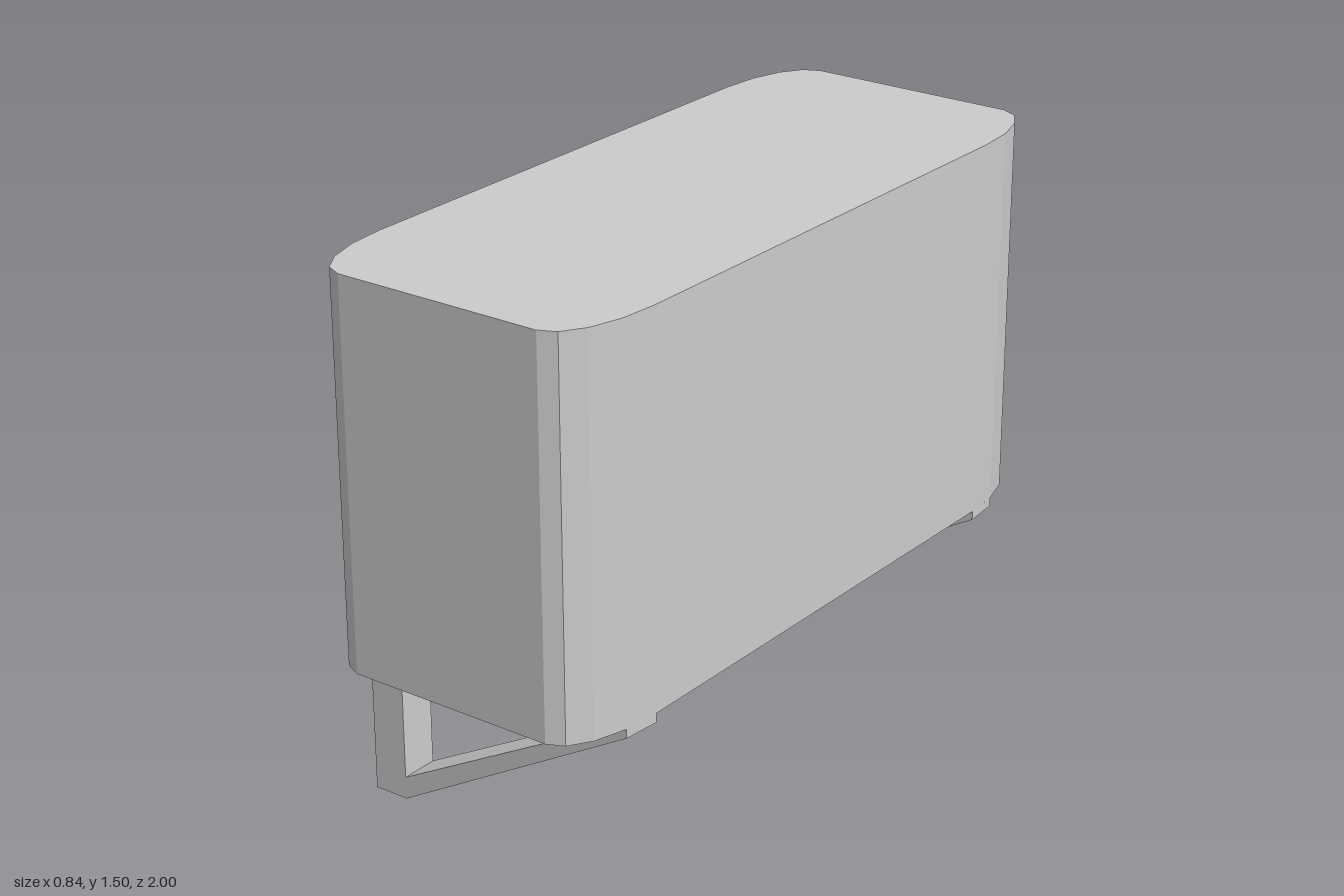
import * as THREE from 'three';

const HALF_W = 0.42, HALF_L = 1;      // cabinet half width and half length
const CORNER_X = 0.12, CORNER_Z = 0.28; // elliptical corner radii
const BOTTOM = 0.44, TOP = 1.5;
const LEG_IN = 0.72, LEG_OUT = 0.827;
const EDGE_IN = 0.42, EDGE_OUT = 0.411; // leg ends follow the corner facet

const points = (list) => list.map(([x, y]) => new THREE.Vector2(x, y));

// Rounded plan with four facets per corner
function cabinetGeometry() {
  const outline = [];
  for (let q = 0; q < 4; q++) {
    const sx = q === 0 || q === 3 ? 1 : -1, sz = q < 2 ? 1 : -1;
    for (let i = 0; i <= 4; i++) {
      const a = (q + i / 4) * Math.PI / 2;
      outline.push(new THREE.Vector2(
        sx * (HALF_W - CORNER_X) + CORNER_X * Math.cos(a),
        sz * (HALF_L - CORNER_Z) + CORNER_Z * Math.sin(a)));
    }
  }
  const geo = new THREE.ExtrudeGeometry(new THREE.Shape(outline), { depth: TOP - BOTTOM, bevelEnabled: false });
  return geo.rotateX(-Math.PI / 2).translate(0, BOTTOM, 0);
}

// Triangular leg frame: upright post, top rail and diagonal brace
function legGeometry(z0) {
  const shape = new THREE.Shape(points([[-EDGE_OUT, 0], [-0.31, 0], [EDGE_OUT, 0.415], [EDGE_OUT, BOTTOM], [-EDGE_OUT, BOTTOM]]));
  shape.holes.push(new THREE.Path(points([[-0.31, 0.063], [-0.31, 0.415], [0.335, 0.415]])));
  const geo = new THREE.ExtrudeGeometry(shape, { depth: LEG_OUT - LEG_IN, bevelEnabled: false });
  geo.translate(0, 0, z0);
  // Widen the inner face so the ends run flush with the cabinet
  const pos = geo.attributes.position;
  for (let i = 0; i < pos.count; i++) {
    const x = pos.getX(i);
    if (Math.abs(x) > 0.4 && Math.abs(pos.getZ(i)) < 0.77) pos.setX(i, Math.sign(x) * EDGE_IN);
  }
  geo.computeVertexNormals();
  return geo;
}

export function createModel() {
  const group = new THREE.Group();
  group.name = 'cabinetOnLegs';
  const material = new THREE.MeshStandardMaterial({ color: 0xcccccc, flatShading: true });
  const add = (name, geo) => {
    const mesh = new THREE.Mesh(geo, material);
    mesh.name = name;
    group.add(mesh);
  };
  add('cabinet', cabinetGeometry());
  add('frontLeg', legGeometry(LEG_IN));
  add('backLeg', legGeometry(-LEG_OUT));
  return group;
}
